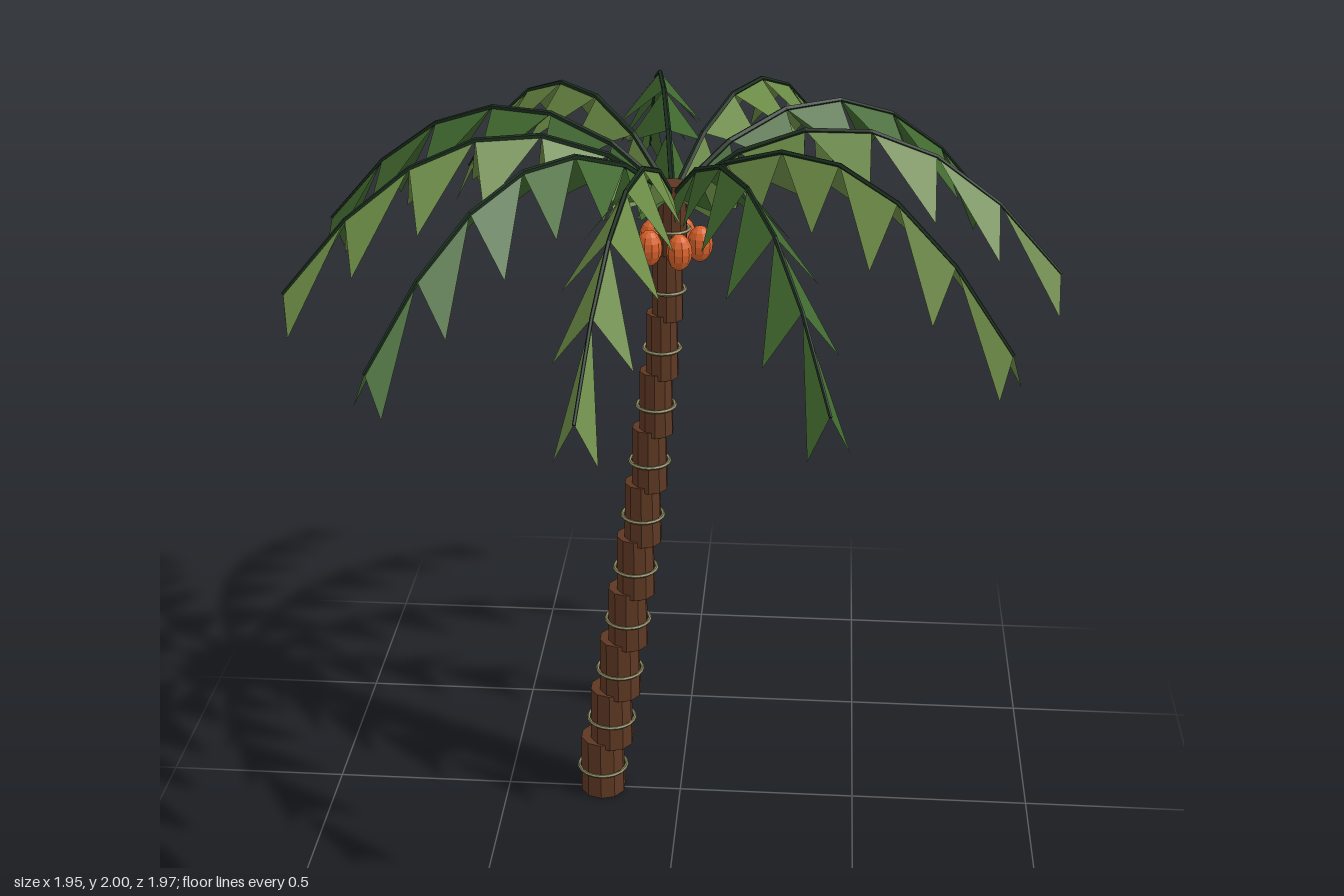
import * as THREE from 'three';

const mat = (color, side = THREE.FrontSide) =>
  new THREE.MeshStandardMaterial({ color, flatShading: true, side });

const BARK = mat(0x5e3823);
const BAND = mat(0x8c8862);
const FRUIT = mat(0xd9622b);
const STEM = mat(0x1b2e1e);
const LEAVES = [mat(0x6b8a45, THREE.DoubleSide), mat(0x41692f, THREE.DoubleSide)];

const SEGMENTS = 11, STEP = 0.165, TOP_X = -0.02;
const FRONDS = 11, NODES = 6, REACH = 0.987;

function add(parent, name, geometry, material, x = 0, y = 0, z = 0) {
  const mesh = new THREE.Mesh(geometry, material);
  mesh.name = name;
  mesh.position.set(x, y, z);
  parent.add(mesh);
  return mesh;
}

// Leaning trunk of stacked upright drums, each with a ring around its middle
function makeTrunk() {
  const trunk = new THREE.Group();
  trunk.name = 'trunk';
  for (let i = 0; i < SEGMENTS; i++) {
    const x = -0.225 + 0.0285 * i - 0.0008 * i * i;
    const r = 0.064 - 0.0026 * i;
    const y = 0.09 + STEP * i;
    add(trunk, 'trunkSegment', new THREE.CylinderGeometry(r - 0.002, r + 0.001, 0.18, 10), BARK, x, y);
    const ring = add(trunk, 'trunkRing', new THREE.TorusGeometry(r + 0.005, 0.005, 5, 20), BAND, x, y - 0.01);
    ring.rotation.x = Math.PI / 2;
  }
  add(trunk, 'trunkCap', new THREE.CylinderGeometry(0.037, 0.037, 0.05, 10), BARK, TOP_X, 1.825);
  return trunk;
}

// Five fruits hanging around the trunk below the crown
function makeFruits() {
  const fruits = new THREE.Group();
  fruits.name = 'fruits';
  for (let i = 0; i < 5; i++) {
    const a = (i / 5) * Math.PI * 2;
    const fruit = add(fruits, 'fruit', new THREE.SphereGeometry(0.033, 10, 8), FRUIT,
      TOP_X + 0.07 * Math.cos(a), 1.69, 0.07 * Math.sin(a));
    fruit.scale.y = 1.45;
  }
  return fruits;
}

// One frond along +x: an arched stem carrying tent-shaped leaflets
function makeFrond(material) {
  const frond = new THREE.Group();
  frond.name = 'frond';
  const halfWidth = [0.055, 0.097, 0.112, 0.115, 0.094, 0.052];
  const drop = [0.13, 0.14, 0.14, 0.135, 0.12, 0.1];
  const node = t => new THREE.Vector3((REACH * t) / NODES, 1.815 + 0.15 * t - 0.03 * t * t, 0);
  const corners = [];
  for (let i = 0; i < NODES; i++) {
    const a = node(i), b = node(i + 1);
    const left = new THREE.Vector3(b.x, b.y - drop[i], halfWidth[i]);
    const right = new THREE.Vector3(b.x, b.y - drop[i], -halfWidth[i]);
    corners.push(a, left, b, a, b, right);

    const dir = b.clone().sub(a);
    const mid = a.clone().add(b).multiplyScalar(0.5);
    const r = 0.0085 - 0.0007 * i;
    const stem = add(frond, 'frondStem', new THREE.CylinderGeometry(r - 0.0007, r, dir.length() + 0.004, 5),
      STEM, mid.x, mid.y, 0);
    stem.quaternion.setFromUnitVectors(new THREE.Vector3(0, 1, 0), dir.normalize());
  }
  const leaves = new THREE.BufferGeometry().setFromPoints(corners);
  leaves.computeVertexNormals();
  add(frond, 'leaflets', leaves, material);
  return frond;
}

export function createModel() {
  const palm = new THREE.Group();
  palm.name = 'palmTree';
  palm.add(makeTrunk(), makeFruits());

  // Crown of fronds in alternating greens
  const crown = new THREE.Group();
  crown.name = 'crown';
  crown.position.x = TOP_X;
  for (let i = 0; i < FRONDS; i++) {
    const frond = makeFrond(LEAVES[i % 2]);
    frond.rotation.y = (i / FRONDS) * Math.PI * 2;
    crown.add(frond);
  }
  palm.add(crown);
  return palm;
}
